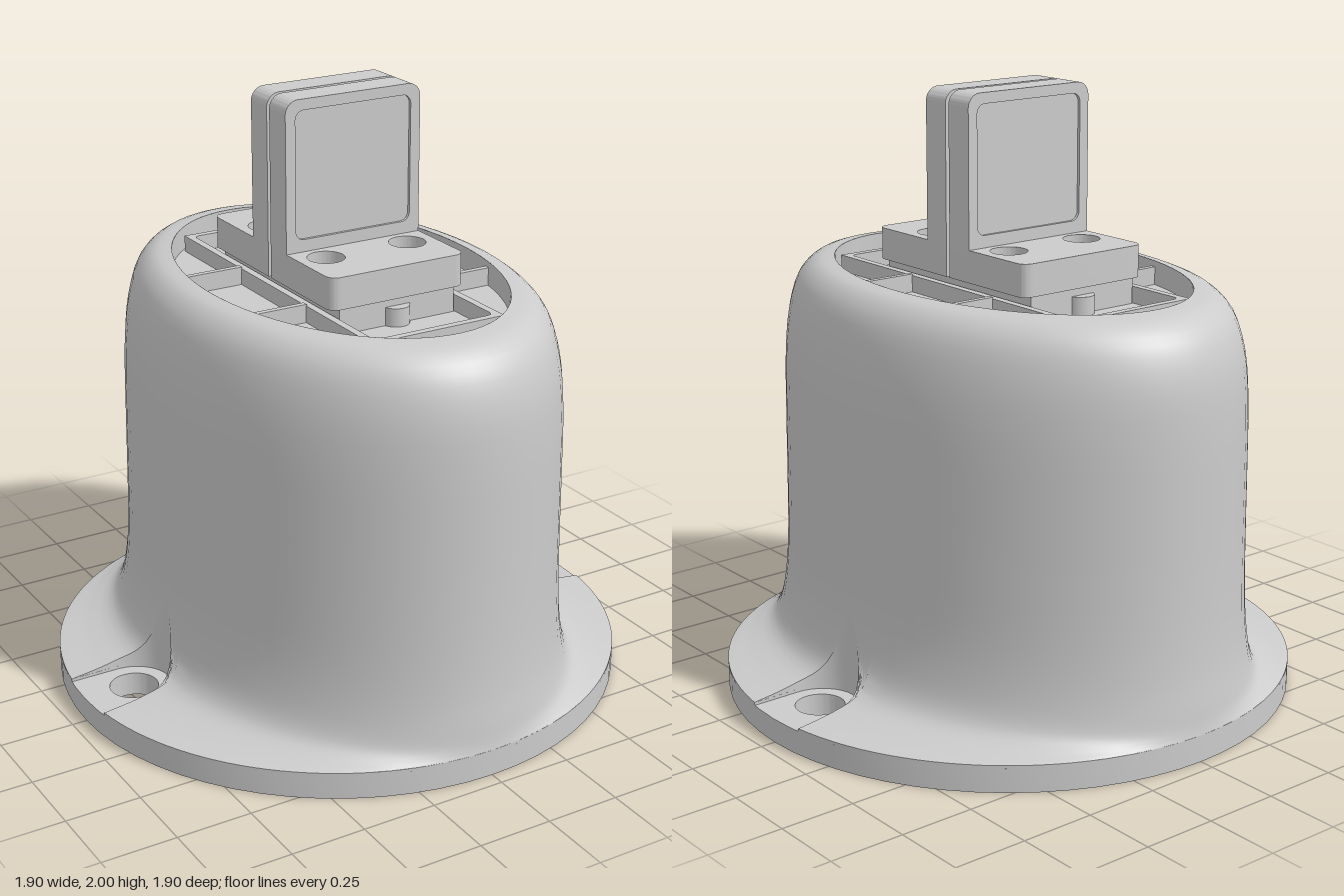
import * as THREE from 'three';
import { toCreasedNormals } from 'three/addons/utils/BufferGeometryUtils.js';

const grey = new THREE.MeshStandardMaterial({ color: 0xcccccc });
const greyDouble = new THREE.MeshStandardMaterial({ color: 0xcccccc, side: THREE.DoubleSide });

const R = 0.95, HOLE_X = 0.775, SLOT = 0.125, FLOOR = 0.08, RECESS = 1.32;

function add(parent, name, geometry, material = grey) {
  const mesh = new THREE.Mesh(geometry, material);
  mesh.name = name;
  parent.add(mesh);
  return mesh;
}

// flat outline extruded upwards from y0 (outline y becomes -z)
function slab(shape, y0, h, segs = 32) {
  const g = new THREE.ExtrudeGeometry(shape, { depth: h, bevelEnabled: false, curveSegments: segs });
  g.rotateX(-Math.PI / 2).translate(0, y0, 0);
  return toCreasedNormals(g, 0.6);
}

function circle(x, y, r, T = THREE.Shape) {
  return new T().absarc(x, y, r, 0, Math.PI * 2, false);
}

// rectangle with separate radii for its lower and upper corners
function roundRect(x0, y0, x1, y1, lo, hi, T = THREE.Shape) {
  const s = new T(), P = Math.PI;
  s.moveTo(x0 + lo, y0).lineTo(x1 - lo, y0);
  if (lo) s.absarc(x1 - lo, y0 + lo, lo, -P / 2, 0, false);
  s.lineTo(x1, y1 - hi);
  if (hi) s.absarc(x1 - hi, y1 - hi, hi, 0, P / 2, false);
  s.lineTo(x0 + hi, y1);
  if (hi) s.absarc(x0 + hi, y1 - hi, hi, P / 2, P, false);
  s.lineTo(x0, y0 + lo);
  if (lo) s.absarc(x0 + lo, y0 + lo, lo, P, P * 1.5, false);
  return s;
}

// oval shell flaring into the round flange, cut by the two screw slots
function shellGeometry() {
  // x radius, height, z radius
  const profile = new THREE.CatmullRomCurve3([
    [0.47, 1.4, 0.72], [0.53, 1.385, 0.8], [0.58, 1.33, 0.865], [0.612, 1.22, 0.905], [0.63, 1.07, 0.918],
    [0.636, 0.85, 0.92], [0.64, 0.6, 0.92], [0.645, 0.4, 0.923], [0.66, 0.27, 0.93], [0.685, 0.18, 0.94],
    [0.725, 0.135, 0.944], [0.82, 0.108, 0.947], [R, 0.09, R],
  ].map(p => new THREE.Vector3(...p)));
  const T0 = 6 / 12, BODY = 18, FILLET = 14, FLARE = 8;
  const phiS = Math.asin(SLOT / 0.944);
  const solve = (phi) => { // where the column meets the slot's rounded end
    let lo = T0, hi = 1;
    for (let i = 0; i < 40; i++) {
      const m = (lo + hi) / 2, p = profile.getPoint(m), z = p.z * Math.sin(phi);
      const clip = HOLE_X - Math.sqrt(Math.max(0, SLOT * SLOT - z * z));
      if (p.x * Math.cos(phi) < clip) lo = m; else hi = m;
    }
    return lo;
  };
  // columns of one quarter, with a doubled column at the slot's side
  const quarter = [];
  for (let k = 0; k <= 8; k++) quarter.push({ phi: phiS * Math.sin(k / 8 * Math.PI / 2), cut: true });
  for (let k = 0; k <= 16; k++) quarter.push({ phi: phiS + (Math.PI / 2 - phiS) * k / 16, cut: false });
  const half = [...quarter.slice(1).reverse().map(c => ({ phi: -c.phi, cut: c.cut })), ...quarter];
  const columns = [...half, ...half.slice(1).map(c => ({ phi: c.phi + Math.PI, cut: c.cut }))];
  const tSide = solve(phiS);

  const pos = [], idx = [], rows = BODY + FILLET + FLARE + 2;
  columns.forEach(({ phi, cut }, c) => {
    const local = Math.asin(Math.min(1, Math.abs(Math.sin(phi))));
    const tc = cut ? solve(local) : tSide;
    for (let i = 0; i < rows; i++) {
      let t;
      if (i <= BODY) t = T0 * i / BODY;
      else if (i <= BODY + FILLET) t = T0 + (tc - T0) * (i - BODY) / FILLET;
      else t = tc + (1 - tc) * (i - BODY - FILLET - 1) / FLARE;
      const p = profile.getPoint(t);
      const y = cut && i > BODY + FILLET ? FLOOR : p.y;
      pos.push(p.x * Math.cos(phi), y, p.z * Math.sin(phi));
    }
    if (!c) return;
    for (let i = 0; i < rows - 1; i++) {
      if (cut && columns[c - 1].cut && i > BODY + FILLET) continue;
      const a = (c - 1) * rows + i, b = a + rows;
      idx.push(a, b, a + 1, b, b + 1, a + 1);
    }
  });
  const g = new THREE.BufferGeometry();
  g.setAttribute('position', new THREE.Float32BufferAttribute(pos, 3));
  g.setIndex(idx);
  return toCreasedNormals(g, 0.6);
}

function buildBase(root) {
  const disc = circle(0, 0, R);
  for (const s of [-1, 1]) disc.holes.push(circle(s * HOLE_X, 0, 0.08, THREE.Path));
  add(root, 'flange', slab(disc, 0, FLOOR));

  // thin top layer of the flange, open at the two slots
  const a = Math.asin(SLOT / R), P = Math.PI;
  const rim = new THREE.Shape();
  rim.absarc(0, 0, R, a, P - a, false);
  rim.lineTo(-HOLE_X, SLOT).absarc(-HOLE_X, 0, SLOT, P / 2, -P / 2, true);
  rim.absarc(0, 0, R, P + a, 2 * P - a, false);
  rim.lineTo(HOLE_X, -SLOT).absarc(HOLE_X, 0, SLOT, -P / 2, -P * 1.5, true);
  add(root, 'flangeRim', slab(rim, FLOOR, 0.01));

  add(root, 'bodyShell', shellGeometry(), greyDouble);
}

function buildRecess(root) {
  const wall = new THREE.CylinderGeometry(1, 1, 1.4 - RECESS, 64, 1, true);
  wall.scale(0.47, 1, 0.72).translate(0, (1.4 + RECESS) / 2, 0);
  add(root, 'recessWall', wall, greyDouble);
  const oval = new THREE.Shape().absellipse(0, 0, 0.47, 0.72, 0, Math.PI * 2);
  add(root, 'recessFloor', slab(oval, RECESS - 0.03, 0.03));

  // raised frame around the bracket seat
  const frame = roundRect(-0.24, -0.605, 0.24, 0.605, 0, 0);
  frame.holes.push(roundRect(-0.215, -0.58, 0.215, 0.58, 0.02, 0.02, THREE.Path));
  add(root, 'seatFrame', slab(frame, RECESS, 0.055));
  add(root, 'bracketSeat', slab(roundRect(-0.21, -0.37, 0.21, 0.37, 0, 0), RECESS, 0.09));

  for (const z of [-1, 1]) {
    const pin = new THREE.CylinderGeometry(0.045, 0.045, 0.06, 24);
    add(root, 'seatPin', pin).position.set(0, RECESS + 0.03, z * 0.36);
    for (const x of [-1, 1]) {
      const rib = new THREE.BoxGeometry(0.215, 0.06, 0.02);
      add(root, 'recessRib', rib).position.set(x * 0.345, RECESS + 0.03, z * 0.21);
    }
  }
}

// L-shaped bracket half on the +z side
function buildBracket() {
  const g = new THREE.Group();
  g.name = 'bracket';
  const W = 0.245;
  const foot = roundRect(-W, -0.38, W, -0.008, 0.035, 0);
  for (const s of [-1, 1]) foot.holes.push(circle(s * 0.15, -0.19, 0.06, THREE.Path));
  add(g, 'bracketFoot', slab(foot, 1.405, 0.105));

  // upright plate with a shallow framed panel on its outer face
  const outline = () => roundRect(-W, 1.41, W, 2, 0, 0.045);
  const upright = (shape, z, depth) => toCreasedNormals(
    new THREE.ExtrudeGeometry(shape, { depth, bevelEnabled: false }).translate(0, 0, z), 0.6);
  add(g, 'bracketPlate', upright(outline(), 0.008, 0.09));
  const border = outline();
  border.holes.push(roundRect(-0.21, 1.55, 0.21, 1.965, 0.03, 0.03, THREE.Path));
  add(g, 'panelBorder', upright(border, 0.098, 0.01));

  // socket screws sunk into the foot
  for (const s of [-1, 1]) {
    const head = circle(s * 0.15, -0.19, 0.06);
    const hex = new THREE.Path();
    hex.setFromPoints(Array.from({ length: 6 }, (_, i) => new THREE.Vector2(
      s * 0.15 + 0.03 * Math.cos(i * Math.PI / 3), -0.19 + 0.03 * Math.sin(i * Math.PI / 3))));
    head.holes.push(hex);
    add(g, 'screwHead', slab(head, 1.43, 0.03));
    const bottom = new THREE.CylinderGeometry(0.058, 0.058, 0.02, 24);
    add(g, 'screwSocketFloor', bottom).position.set(s * 0.15, 1.42, 0.19);
  }
  return g;
}

export function createModel() {
  const root = new THREE.Group();
  root.name = 'mount';
  buildBase(root);
  buildRecess(root);
  for (const turn of [0, Math.PI]) {
    const b = buildBracket();
    b.rotation.y = turn;
    root.add(b);
  }
  return root;
}
